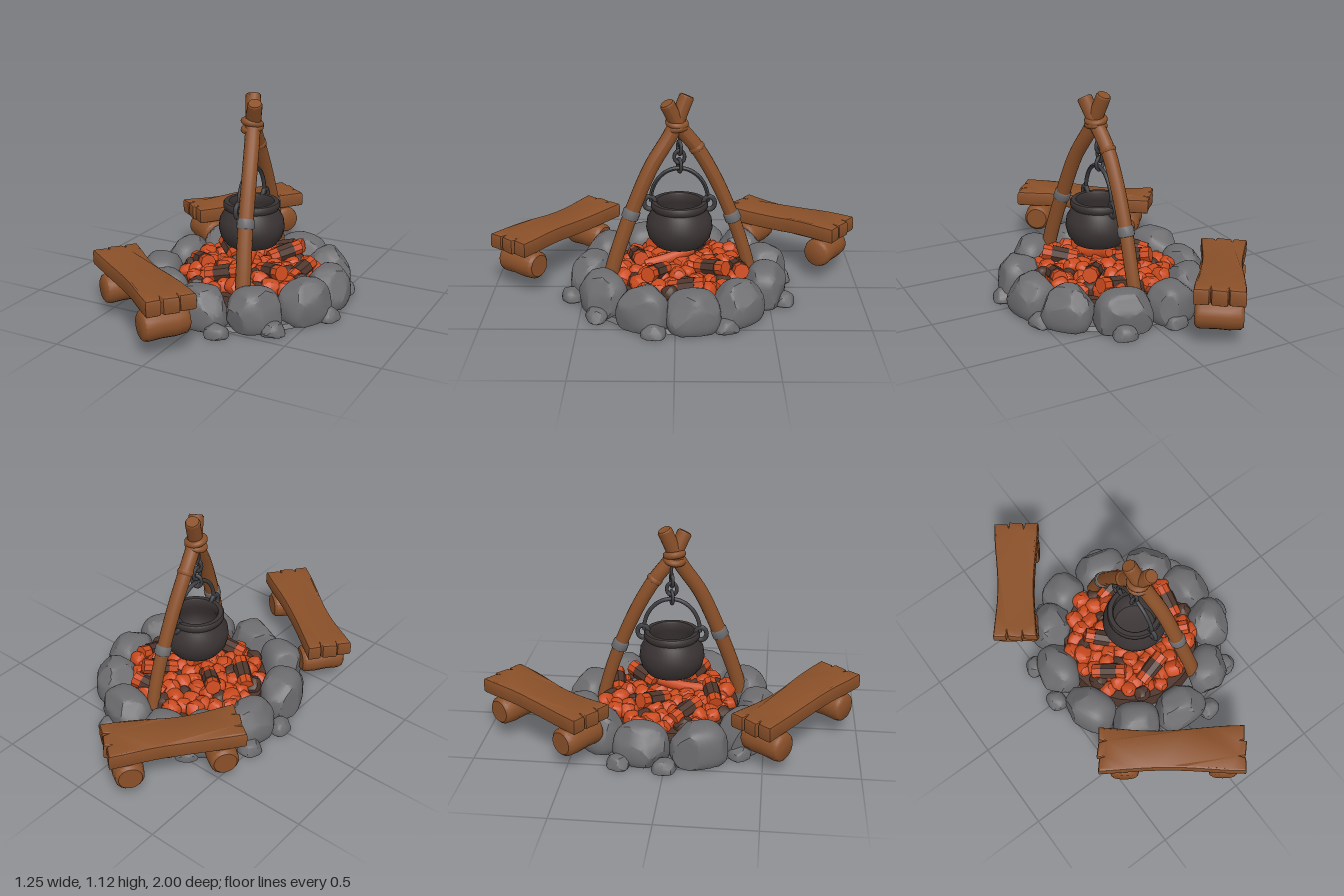
import * as THREE from 'three';
import { toCreasedNormals, mergeVertices } from 'three/addons/utils/BufferGeometryUtils.js';

const mat = (name, color) => Object.assign(new THREE.MeshStandardMaterial({ color }), { name });
const V = (x, y, z) => new THREE.Vector3(x, y, z);
const UP = V(0, 1, 0);

export function createModel() {
  const wood = mat('wood', 0x8a5029), stone = mat('stone', 0x6c6c6f), pot = mat('castIron', 0x3a3333);
  const iron = mat('chainIron', 0x3d3d40), ember = mat('ember', 0xcb4a1d), char = mat('char', 0x4e352b);
  const root = new THREE.Group();
  root.name = 'campfire';
  let seed = 7;
  const rnd = (a = 0, b = 1) => {
    seed = (seed * 16807) % 2147483647;
    return a + (b - a) * seed / 2147483647;
  };
  const group = (name, parent = root) => {
    const g = new THREE.Group();
    g.name = name;
    parent.add(g);
    return g;
  };
  const add = (parent, name, geo, material, x = 0, y = 0, z = 0) => {
    const m = new THREE.Mesh(geo, material);
    m.name = name;
    m.position.set(x, y, z);
    parent.add(m);
    return m;
  };

  // Boulder: a boxy ball chipped by random planes, cut flat below, wider at its foot
  function rockGeo(sx, sy, sz, floor = -1, flare = 0, detail = 5) {
    const geo = new THREE.IcosahedronGeometry(1, detail), p = geo.attributes.position, v = V(0, 0, 0);
    const cuts = Array.from({ length: 9 }, () => [V(rnd(-1, 1), rnd(-0.5, 1), rnd(-1, 1)).normalize(), rnd(0.88, 1.02)]);
    const box = (t) => Math.sign(t) * Math.pow(Math.abs(t), 0.72);
    for (let i = 0; i < p.count; i++) {
      v.fromBufferAttribute(p, i);
      v.set(box(v.x), box(v.y), box(v.z));
      for (const [n, d] of cuts) {
        const over = v.dot(n) - d;
        if (over > 0) v.addScaledVector(n, -over);
      }
      v.y = Math.max(v.y, floor);
      const k = 1 - flare * v.y;
      p.setXYZ(i, v.x * sx * k, v.y * sy, v.z * sz * k);
    }
    return toCreasedNormals(geo, 0.45);
  }

  // Round limb along a smooth path, tapered, with capped ends
  function limb(parent, name, points, r0, r1, material, sides = 14) {
    const curve = new THREE.CatmullRomCurve3(points), n = 28;
    const geo = new THREE.TubeGeometry(curve, n, 1, sides), p = geo.attributes.position;
    for (let i = 0; i <= n; i++) {
      const c = curve.getPointAt(i / n), r = r0 + (r1 - r0) * i / n;
      for (let j = 0; j <= sides; j++) {
        const k = i * (sides + 1) + j, v = V(0, 0, 0).fromBufferAttribute(p, k).sub(c).multiplyScalar(r).add(c);
        p.setXYZ(k, v.x, v.y, v.z);
      }
    }
    geo.computeVertexNormals();
    add(parent, name, geo, material);
    [[0, r0, -1], [1, r1, 1]].forEach(([t, r, s]) => {
      const c = curve.getPointAt(t);
      const cap = add(parent, name + 'End', new THREE.CylinderGeometry(r * 0.85, r, 0.012, sides), material, c.x, c.y, c.z);
      cap.quaternion.setFromUnitVectors(UP, curve.getTangentAt(t).multiplyScalar(s));
    });
    return curve;
  }

  // Collar around a limb
  function collar(parent, name, curve, t, r, h, material) {
    const c = curve.getPointAt(t);
    const prof = [[r * 0.8, -h / 2], [r, -h / 2 + 0.006], [r, h / 2 - 0.006], [r * 0.8, h / 2]];
    const geo = new THREE.LatheGeometry(prof.map((a) => new THREE.Vector2(...a)), 16);
    add(parent, name, geo, material, c.x, c.y, c.z).quaternion.setFromUnitVectors(UP, curve.getTangentAt(t));
  }

  // Ring of boulders
  const cx = 0.03, cz = -0.01, ring = group('stoneRing');
  add(ring, 'groundSlab', new THREE.CylinderGeometry(0.5, 0.52, 0.02, 40), stone, cx, 0.01, cz);
  const boulders = [[-0.12, -0.49, 0.12], [0.15, -0.48, 0.15], [0.38, -0.32, 0.14], [0.48, -0.09, 0.14], [0.45, 0.16, 0.14],
    [0.27, 0.38, 0.14], [0.01, 0.46, 0.15], [-0.24, 0.39, 0.13], [-0.40, 0.17, 0.15], [-0.41, -0.13, 0.145], [-0.29, -0.36, 0.13]];
  boulders.forEach(([x, z, w]) => {
    const sy = rnd(0.118, 0.13);
    const m = add(ring, 'boulder', rockGeo(w, sy, 0.112, -0.75, 0.1), stone, x, sy * 0.75, z);
    m.rotation.y = Math.atan2(x - cx, z - cz);
  });
  const pebbles = [[-0.1, -0.58], [0.19, -0.58], [-0.27, -0.48], [0.51, -0.26], [0.565, 0.11], [0.39, 0.41],
    [0.15, 0.56], [-0.5, -0.24], [-0.52, 0], [-0.34, 0.38], [-0.13, 0.5]];
  pebbles.forEach(([x, z]) => {
    const m = add(ring, 'pebble', rockGeo(0.062, 0.045, 0.052, -0.5, 0.15, 3), stone, x, 0.0225, z);
    m.rotation.y = Math.atan2(x - cx, z - cz);
  });

  // Bed of glowing coals
  const fire = group('fireBed');
  add(fire, 'ashBed', new THREE.CylinderGeometry(0.38, 0.4, 0.11, 32), char, cx, 0.065, -0.03);
  for (let i = 0; i < 85; i++) {
    const r = 0.355 * Math.sqrt((i + 0.5) / 85), a = i * 2.39996, s = rnd(0.038, 0.056);
    const m = add(fire, 'coal', rockGeo(s, s * 0.85, s * rnd(0.8, 1.1), -1, 0, 2), i % 6 === 4 ? char : ember,
      cx + r * Math.cos(a), 0.175 - 0.1 * r + rnd(-0.02, 0.01), -0.03 + r * Math.sin(a));
    m.rotation.set(rnd(-0.5, 0.5), rnd(0, 6), rnd(-0.5, 0.5));
  }

  // Burning logs: charred lengths between glowing ones
  const logs = [[0.17, -0.19, 0.9, 0.2], [0.23, 0.1, -0.5, 0.2], [0.0, 0.21, 0.25, 0.19], [-0.12, -0.1, 2.4, 0.2],
    [0.12, -0.33, 0.2, 0.175], [0.33, -0.06, 1.4, 0.165], [-0.2, 0.08, -0.7, 0.18]];
  const logPiece = (r, l) => new THREE.CylinderGeometry(r, r * 1.05, l, 8);
  logs.forEach(([x, z, turn, y]) => {
    const g = group('burningLog', fire);
    g.position.set(x, y, z);
    g.rotation.set(0, turn, Math.PI / 2 + 0.2);
    add(g, 'charredMiddle', toCreasedNormals(logPiece(0.044, 0.09), 0.6), char);
    [-1, 1].forEach((s) => add(g, 'glowingEnd', toCreasedNormals(logPiece(0.04, 0.05), 0.6), ember, 0, s * 0.07, 0));
  });
  limb(fire, 'leaningEmber', [V(0.08, 0.17, 0.16), V(0.05, 0.2, 0.03), V(0.03, 0.245, -0.09)], 0.035, 0.03, ember, 8);

  // Two crossed, bowed poles with bands and a lashing
  const frame = group('poleFrame');
  const frontPole = limb(frame, 'frontPole', [V(0.19, 0.12, 0.355), V(0.178, 0.25, 0.32), V(0.148, 0.48, 0.24), V(0.115, 0.74, 0.13),
    V(0.075, 0.92, 0.02), V(0.04, 1.1, -0.055)], 0.04, 0.04, wood);
  const backPole = limb(frame, 'backPole', [V(0.035, 0.12, -0.4), V(0.04, 0.22, -0.375), V(0.04, 0.43, -0.305), V(0.04, 0.66, -0.205),
    V(0.045, 0.83, -0.107), V(0.065, 0.95, -0.015), V(0.1, 1.075, 0.045)], 0.035, 0.04, wood);
  collar(frame, 'frontBand', frontPole, 0.365, 0.046, 0.055, stone);
  collar(frame, 'backBand', backPole, 0.315, 0.044, 0.055, stone);
  collar(frame, 'poleKnot', backPole, 0.72, 0.043, 0.03, wood);
  [[0.935, 0.15], [0.965, -0.15]].forEach(([y, tilt]) => {
    const m = add(frame, 'lashing', new THREE.TorusGeometry(0.043, 0.019, 10, 24), wood, 0.06, y, -0.005);
    m.rotation.set(Math.PI / 2 + tilt, tilt, 0);
  });

  // Chain
  const px = 0.052, pz = -0.018, chain = group('chain');
  limb(chain, 'hangingRod', [V(0.035, 0.93, pz), V(0.03, 0.88, pz), V(0.04, 0.835, pz)], 0.008, 0.008, iron, 8);
  [[0.825, 0], [0.775, 1], [0.728, 0]].forEach(([y, side]) => {
    const m = add(chain, 'chainLink', new THREE.TorusGeometry(0.027, 0.0095, 8, 20), iron, 0.045, y, pz);
    m.scale.y = 1.25;
    m.rotation.y = side ? Math.PI / 2 : 0.35;
  });

  // Cooking pot with a hollow inside, handle and lugs
  const kettle = group('cookingPot');
  kettle.position.set(px, 0, pz);
  const profile = [[0, 0.275], [0.09, 0.277], [0.135, 0.295], [0.165, 0.335], [0.178, 0.385], [0.172, 0.435], [0.15, 0.475],
    [0.143, 0.49], [0.152, 0.503], [0.152, 0.525], [0.146, 0.532], [0.122, 0.532], [0.117, 0.522], [0.118, 0.48], [0.15, 0.42],
    [0.152, 0.36], [0.115, 0.31], [0, 0.298]];
  const potGeo = new THREE.LatheGeometry(profile.map((a) => new THREE.Vector2(...a)), 40);
  add(kettle, 'potBody', toCreasedNormals(potGeo, 0.75), pot);
  const arc = [];
  for (let i = 0; i <= 12; i++) {
    const a = Math.PI * i / 12;
    arc.push(V(0, 0.535 + 0.18 * Math.sin(a), 0.152 * Math.cos(a)));
  }
  limb(kettle, 'handle', arc, 0.011, 0.011, iron, 10);
  [-1, 1].forEach((s) => {
    const lug = add(kettle, 'handleLug', new THREE.TorusGeometry(0.03, 0.012, 10, 20), iron, 0, 0.52, s * 0.158);
    lug.rotation.y = Math.PI / 2;
    lug.scale.y = 1.2;
  });

  // Bench: a split plank with notched ends on two short logs
  function bench(name, x, z, turn, length, logAt) {
    const g = group(name);
    g.position.set(x, 0, z);
    g.rotation.set(0, turn, 0.028);
    const h = length / 2 - 0.012, w = 0.103, s = new THREE.Shape();
    const edge = (side) => {
      for (let i = 0; i <= 10; i++) {
        const t = side * (i / 5 - 1);
        s.lineTo(t * h, side * -(w - 0.012 * Math.cos(t * 2.6 + 0.4)));
      }
      const ends = [[0, 0.06], [-0.035, 0.045], [0, 0.03], [0.008, -0.03], [-0.025, -0.042], [-0.004, -0.055]];
      ends.forEach(([d, v]) => s.lineTo(side * (h + d), -side * v));
    };
    s.moveTo(-h, -w);
    edge(1);
    edge(-1);
    let geo = new THREE.ExtrudeGeometry(s, { depth: 0.056, bevelThickness: 0.015, bevelSize: 0.012, bevelSegments: 2, steps: 1 });
    geo.rotateX(-Math.PI / 2);
    const p = geo.attributes.position;
    for (let i = 0; i < p.count; i++) p.setY(i, p.getY(i) + 0.005 * Math.sin(p.getX(i) * 11) + 0.008 * Math.abs(p.getX(i)) / h);
    add(g, 'plank', toCreasedNormals(geo, 0.6), wood, 0, 0.248, 0);
    logAt.forEach((u) => {
      const prof = [[0, -0.12], [0.06, -0.12], [0.074, -0.105], [0.079, -0.05], [0.076, 0.02], [0.08, 0.09], [0.074, 0.11], [0.06, 0.12], [0, 0.12]];
      const log = new THREE.LatheGeometry(prof.map((a) => new THREE.Vector2(...a)), 18);
      add(g, 'supportLog', toCreasedNormals(log, 0.7), wood, u, 0.157, 0).rotation.x = Math.PI / 2;
    });
  }
  bench('frontBench', -0.205, 0.672, -0.635, 0.79, [-0.26, 0.28]);
  bench('backBench', -0.322, -0.65, 0.955, 0.69, [-0.24, 0.24]);
  return root;
}
